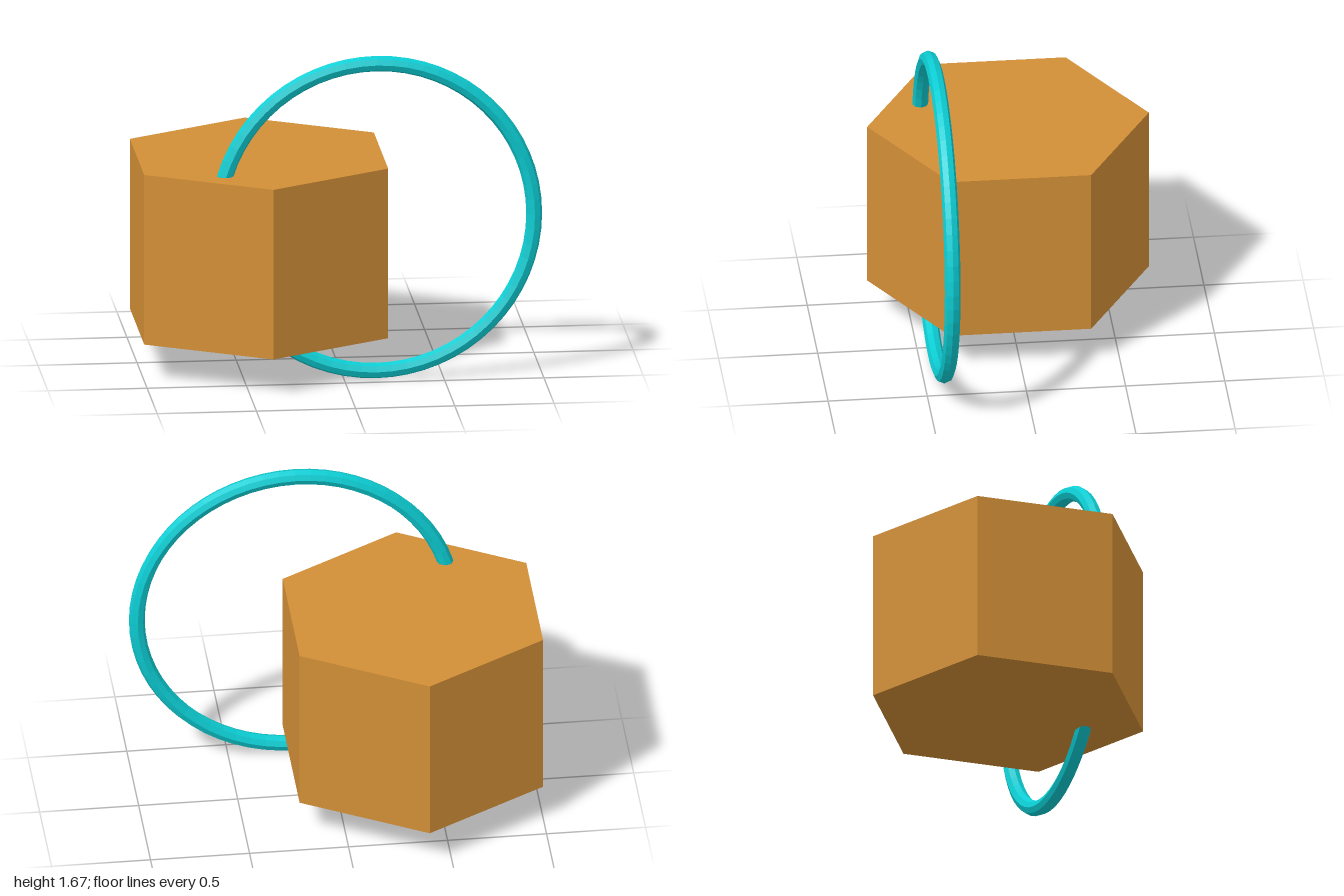
import * as THREE from 'three';

export function createModel() {
  const group = new THREE.Group();

  const ochre = new THREE.MeshStandardMaterial({ color: 0xd28f37 });
  ochre.name = 'ochre';
  ochre.flatShading = true;
  const turquoise = new THREE.MeshStandardMaterial({ color: 0x0cced4 });
  turquoise.name = 'turquoise';
  turquoise.flatShading = true;

  // Hexagonal block with one corner pointing forward
  const block = new THREE.Mesh(new THREE.CylinderGeometry(0.71, 0.71, 0.88, 6), ochre);
  block.name = 'hexagonalBlock';
  block.position.set(-0.385, 0.63, 0);
  group.add(block);

  // Upright eight-sided ring passing through the block
  const ring = new THREE.Mesh(new THREE.TorusGeometry(0.796, 0.04, 8, 64), turquoise);
  ring.name = 'ring';
  ring.position.set(0.163, 0.838, 0.42);
  group.add(ring);

  return group;
}
